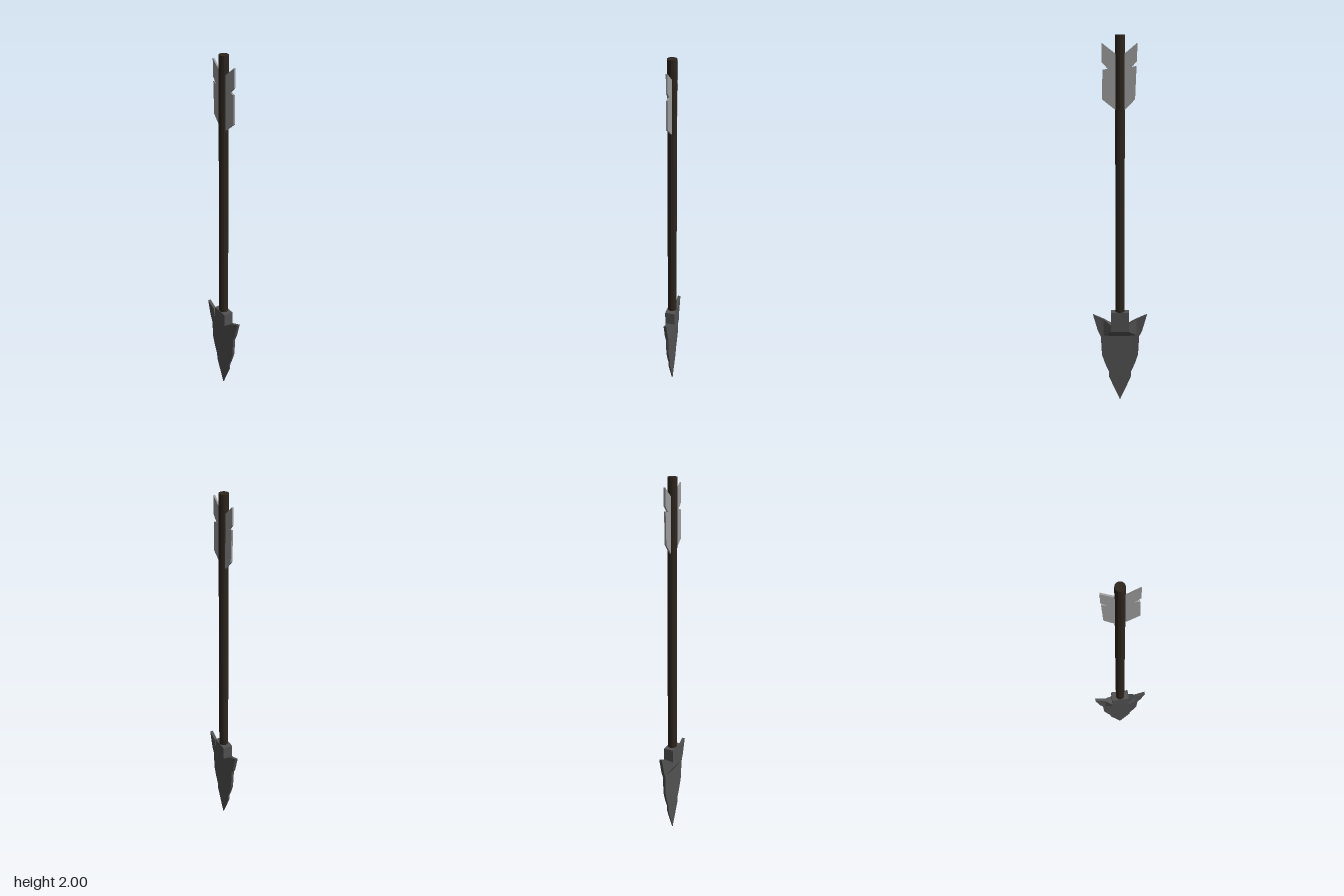
import * as THREE from 'three';
import { ConvexGeometry } from 'three/addons/geometries/ConvexGeometry.js';

const material = (color) => new THREE.MeshStandardMaterial({ color, flatShading: true });

// Flat plate standing in the z-y plane, centred on x = 0, from [z, y] outline points
function plate(outline, thickness) {
  const shape = new THREE.Shape(outline.map(([z, y]) => new THREE.Vector2(z, y)));
  const geometry = new THREE.ExtrudeGeometry(shape, { depth: thickness, bevelEnabled: false });
  return geometry.translate(0, 0, -thickness / 2).rotateY(-Math.PI / 2);
}

// Convex block symmetric across x, from [halfWidth, y, z] corners
function block(corners) {
  return new ConvexGeometry(corners.flatMap(([x, y, z]) =>
    [new THREE.Vector3(x, y, z), new THREE.Vector3(-x, y, z)]));
}

export function createModel() {
  const group = new THREE.Group();
  const wood = material(0x2e261e);
  const iron = material(0x525252);
  const feather = material(0x9c9c9c);
  const add = (name, geometry, mat, parent = group) => {
    const mesh = new THREE.Mesh(geometry, mat);
    mesh.name = name;
    parent.add(mesh);
  };

  // Shaft
  add('shaft', new THREE.CylinderGeometry(0.025, 0.025, 1.55, 12).translate(0, 1.225, 0), wood);

  // Head: barbed blade, thinning towards the tip
  const head = new THREE.Group();
  head.name = 'arrowhead';
  group.add(head);
  const side = [[0.06, 0.135], [0.062, 0.17], [0.084, 0.22], [0.1, 0.27],
    [0.106, 0.378], [0.122, 0.41], [0.148, 0.503], [0.09, 0.477], [0.049, 0.447]];
  const outline = [[0, 0], ...side, ...side.map(([z, y]) => [-z, y]).reverse()];
  const blade = plate(outline, 0.016);
  const pos = blade.attributes.position;
  for (let i = 0; i < pos.count; i++) {
    pos.setX(i, pos.getX(i) * (0.3 + 0.7 * Math.min(1, pos.getY(i) / 0.38)));
  }
  blade.computeVertexNormals();
  add('blade', blade, iron, head);

  // Socket with chamfered foot, and shoulders flaring into the barbs
  add('socket', block([1, -1].flatMap((s) =>
    [[0.027, 0.52, s * 0.049], [0.027, 0.41, s * 0.049], [0.008, 0.38, s * 0.049]])), iron, head);
  for (const s of [1, -1]) {
    add(s > 0 ? 'frontShoulder' : 'backShoulder', block([
      [0.027, 0.447, s * 0.049], [0.027, 0.41, s * 0.049], [0.008, 0.38, s * 0.049],
      [0.008, 0.477, s * 0.09], [0.008, 0.385, s * 0.09]]), iron, head);
  }

  // Notched feathers
  add('frontFeather', plate([[0, 1.62], [0.024, 1.62], [0.094, 1.675], [0.09, 1.825],
    [0.063, 1.83], [0.094, 1.862], [0.094, 1.96], [0.022, 1.905], [0, 1.905]], 0.009), feather);
  add('backFeather', plate([[0, 1.62], [-0.026, 1.62], [-0.078, 1.675], [-0.085, 1.845],
    [-0.06, 1.838], [-0.088, 1.87], [-0.088, 1.96], [-0.022, 1.905], [0, 1.905]], 0.009), feather);

  return group;
}
